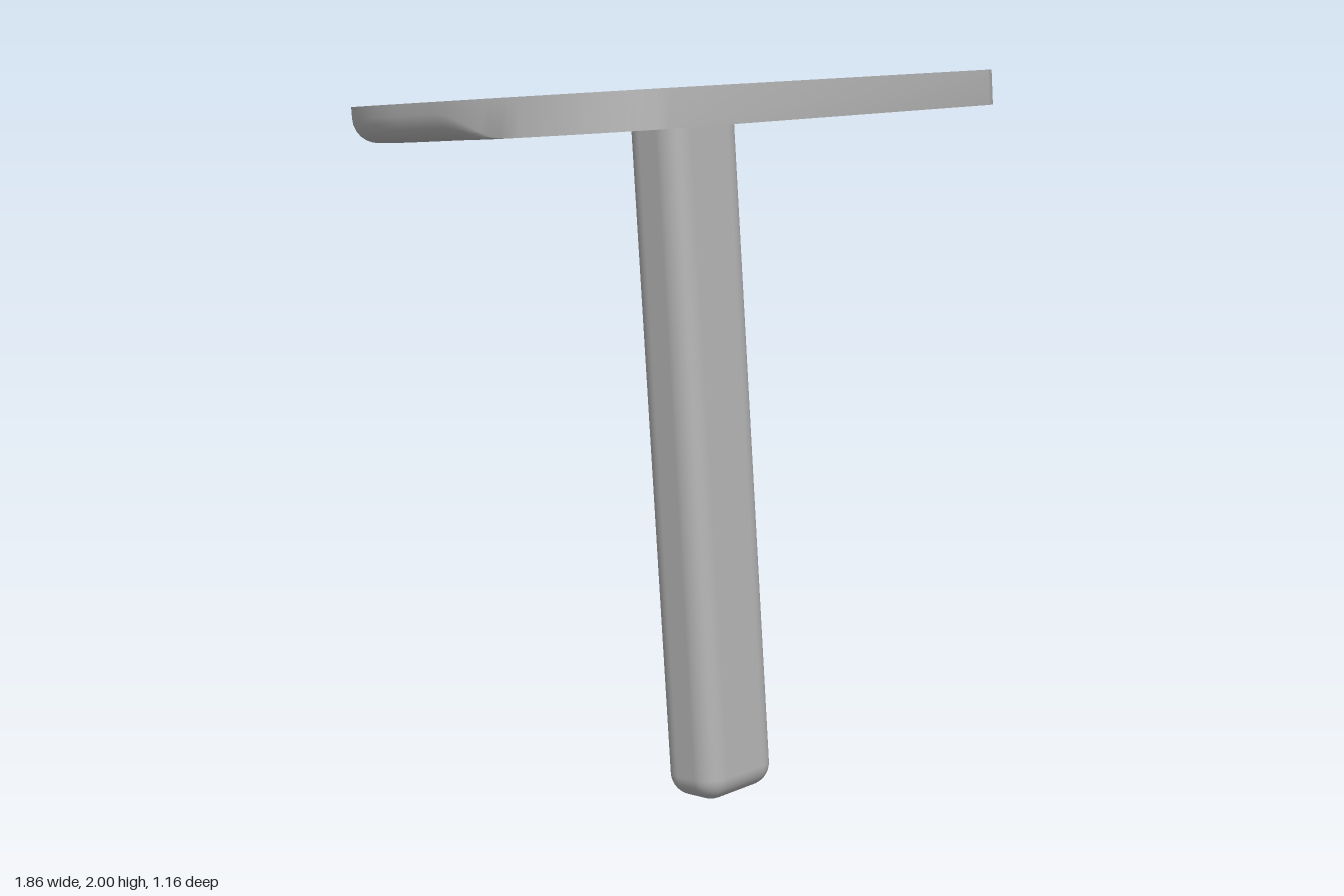
import * as THREE from 'three';
import { toCreasedNormals } from 'three/addons/utils/BufferGeometryUtils.js';
import { RoundedBoxGeometry } from 'three/addons/geometries/RoundedBoxGeometry.js';

const THICK = 0.095, FILLET = 0.065, BORE_DEPTH = 0.04, TILT = 0.082;

// Joins closed rings of [x, y, z] points into a wall, keeping sharp edges
function skin(rings) {
  const pos = [], n = rings[0].length;
  for (let k = 0; k + 1 < rings.length; k++) {
    for (let i = 0; i < n; i++) {
      const j = (i + 1) % n, a = rings[k], b = rings[k + 1];
      pos.push(...a[i], ...a[j], ...b[j], ...a[i], ...b[j], ...b[i]);
    }
  }
  const g = new THREE.BufferGeometry();
  g.setAttribute('position', new THREE.Float32BufferAttribute(pos, 3));
  return toCreasedNormals(g, 0.5);
}

// Flat horizontal face from [x, z] points, with holes, facing up or down
function face(outline, holes, y, up) {
  const s = up ? -1 : 1;
  const vec = pts => pts.map(([x, z]) => new THREE.Vector2(x, s * z));
  const shape = new THREE.Shape(vec(outline));
  holes.forEach(h => shape.holes.push(new THREE.Path(vec(h))));
  return new THREE.ShapeGeometry(shape).rotateX(s * Math.PI / 2).translate(0, y, 0);
}

// Regular polygon of [x, z] points, wound so that its wall faces inward
function ring(cx, cz, r, sides, start = 0) {
  return Array.from({ length: sides }, (_, i) => {
    const t = start - i / sides * Math.PI * 2;
    return [cx + r * Math.cos(t), cz + r * Math.sin(t)];
  });
}

const atHeight = (pts, y) => pts.map(([x, z]) => [x, y, z]);

// Plate outline with outward normals and the local size of the lower fillet
function plateOutline() {
  const half = [], R = 0.55, N = 24;
  const add = (cz, t) => {
    const nx = Math.cos(t), nz = Math.sin(t), z = cz + R * nz;
    const fade = THREE.MathUtils.smoothstep(z, 0.1, 0.3);
    half.push({ x: 0.38 + R * nx, z, nx, nz, r: FILLET * (1 - fade) });
  };
  for (let i = 0; i <= N; i++) add(-0.037, -Math.PI / 2 * (1 - i / N));
  for (let i = 0; i <= N; i++) add(0.08, 1.115 * i / N);
  return [...half, ...half.map(p => ({ ...p, x: -p.x, nx: -p.nx })).reverse()];
}

export function createModel() {
  const grey = new THREE.MeshStandardMaterial({ color: 0xb2b2b2, side: THREE.DoubleSide });
  grey.name = 'grey metal';
  const model = new THREE.Group();
  model.name = 'platedPost';
  const body = new THREE.Group();
  body.name = 'tiltedBody';
  body.position.y = 1.953;
  body.rotation.x = -TILT;
  model.add(body);
  const add = (name, geometry) => {
    const mesh = new THREE.Mesh(geometry, grey);
    mesh.name = name;
    body.add(mesh);
    return mesh;
  };

  // Holes: two plain ones, and two hexagons sunk in round recesses
  const pins = [-0.295, 0.295].map(x => ring(x, -0.16, 0.075, 40));
  const bores = [-0.71, 0.71].map(x => ring(x, -0.008, 0.164, 56));
  const hexes = [-0.71, 0.71].map(x => ring(x, -0.008, 0.105, 6, -0.1));

  // Plate wall: straight upper part, then a rounded lower edge
  const outline = plateOutline();
  const rings = [outline.map(p => [p.x, 0, p.z])];
  for (let k = 0; k <= 6; k++) {
    const a = k / 6 * Math.PI / 2;
    rings.push(outline.map(p => {
      const inset = p.r * (1 - Math.cos(a));
      return [p.x - p.nx * inset, -THICK + p.r * (1 - Math.sin(a)), p.z - p.nz * inset];
    }));
  }
  const flat = r => r.map(([x, , z]) => [x, z]);
  add('plateRim', skin(rings));
  add('plateTop', face(flat(rings[0]), [...pins, ...bores], 0, true));
  add('plateUnderside', face(flat(rings[rings.length - 1]), [...pins, ...hexes], -THICK, false));

  // Hole walls and recess floors
  for (let i = 0; i < 2; i++) {
    add('pinHole', skin([atHeight(pins[i], 0), atHeight(pins[i], -THICK)]));
    add('recessWall', skin([atHeight(bores[i], 0), atHeight(bores[i], -BORE_DEPTH)]));
    add('recessFloor', face(bores[i], [hexes[i]], -BORE_DEPTH, true));
    add('hexHole', skin([atHeight(hexes[i], -BORE_DEPTH), atHeight(hexes[i], -THICK)]));
  }

  // Post with rounded edges, its top end buried in the plate
  const top = -0.02, bottom = -1.957;
  const post = add('post', new RoundedBoxGeometry(0.275, top - bottom, 0.195, 6, 0.065));
  post.position.set(-0.003, (top + bottom) / 2, 0.016);

  return model;
}
